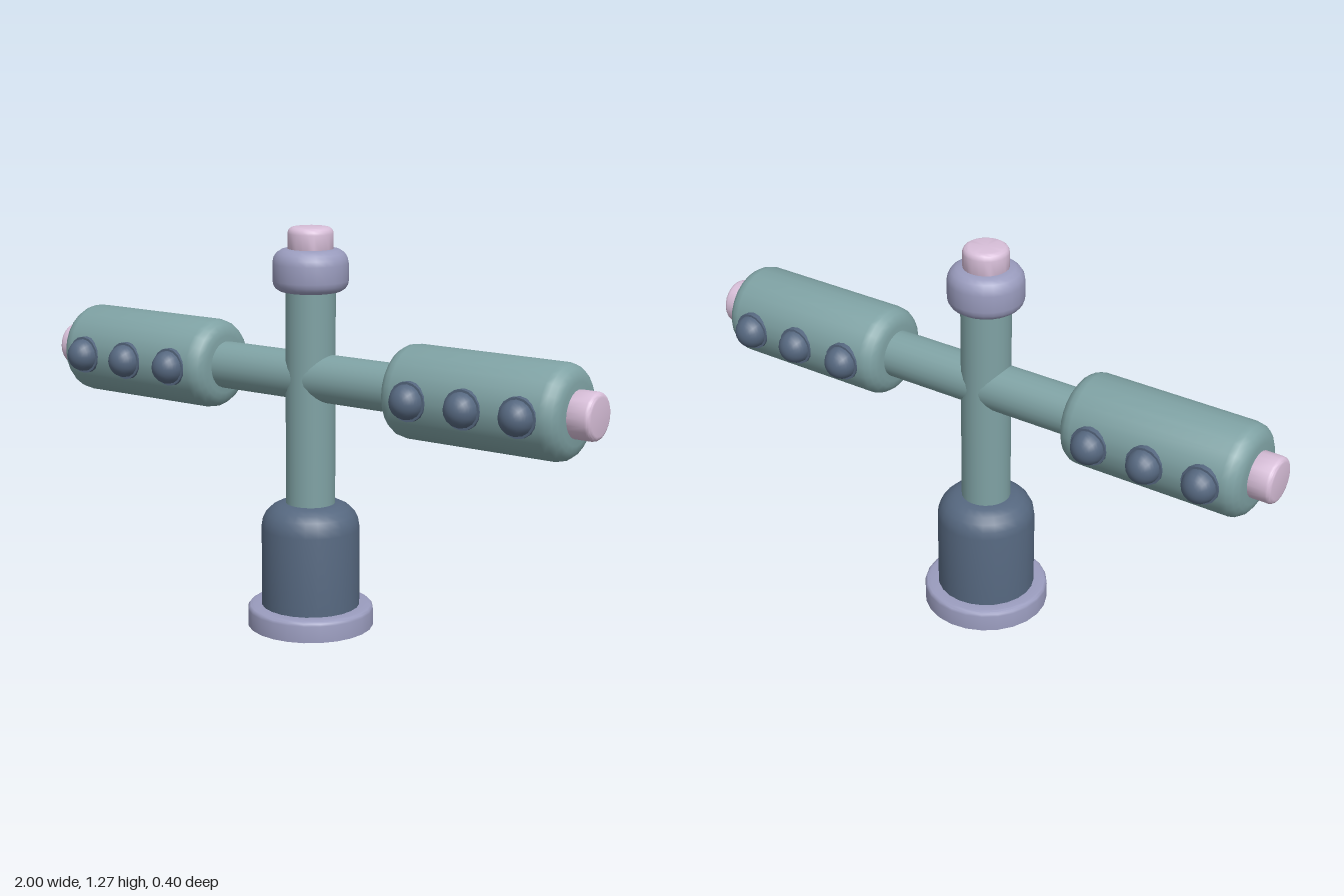
import * as THREE from 'three';
import { toCreasedNormals } from 'three/addons/utils/BufferGeometryUtils.js';

const SIDES = 24;
const ARM_Y = 0.803;

function material(name, color, side = THREE.FrontSide) {
  const m = new THREE.MeshStandardMaterial({ color, side });
  m.name = name;
  return m;
}

// Profile points of a rounded corner, turning from straight up to inward
function topCorner(radius, top, bevel, steps = 4) {
  return Array.from({ length: steps + 1 }, (_, i) => {
    const a = (i / steps) * Math.PI / 2;
    return new THREE.Vector2(radius - bevel + bevel * Math.cos(a), top - bevel + bevel * Math.sin(a));
  });
}

function lathe(points, sides = SIDES) {
  return toCreasedNormals(new THREE.LatheGeometry(points, sides), 0.6);
}

// Closed drum standing on the y axis, with separately rounded ends
function drum(radius, y0, y1, lowBevel, highBevel) {
  const low = topCorner(radius, -y0, lowBevel).reverse().map(p => new THREE.Vector2(p.x, -p.y));
  return lathe([new THREE.Vector2(0, y0), ...low, ...topCorner(radius, y1, highBevel), new THREE.Vector2(0, y1)]);
}

export function createModel() {
  const model = new THREE.Group();
  model.name = 'crossPost';
  const teal = material('teal', 0x7fa2a4);
  const slate = material('slate', 0x566880, THREE.DoubleSide);
  const lavender = material('lavender', 0x9a9cbe, THREE.DoubleSide);
  const pink = material('pink', 0xd8bfd9);

  const add = (name, geometry, mat, parent = model) => {
    const mesh = new THREE.Mesh(geometry, mat);
    mesh.name = name;
    parent.add(mesh);
    return mesh;
  };

  // Hollow foot: an open flange carrying an open-bottomed housing
  add('footFlange', lathe([
    new THREE.Vector2(0.2, 0), ...topCorner(0.2, 0.068, 0.015, 3), new THREE.Vector2(0.156, 0.068),
  ]), lavender);
  add('footHousing', lathe([
    new THREE.Vector2(0.156, 0.068), ...topCorner(0.156, 0.4, 0.08, 5), new THREE.Vector2(0, 0.4),
  ]), slate);

  // Upright post, collar and cap
  const post = add('post', new THREE.CylinderGeometry(0.078, 0.078, 0.69, SIDES, 1, true), teal);
  post.position.y = 0.74;
  add('collar', drum(0.118, 1.07, 1.202, 0.035, 0.045), lavender);
  add('topCap', drum(0.071, 1.19, 1.268, 0.005, 0.02), pink);

  // Cross bar running through the post
  const bar = add('crossBar', new THREE.CylinderGeometry(0.075, 0.075, 0.72, SIDES, 1, true), teal);
  bar.rotation.z = Math.PI / 2;
  bar.position.y = ARM_Y;

  // Shared arm and knob shapes
  const podGeometry = drum(0.143, 0.335, 0.93, 0.05, 0.05);
  const tipGeometry = drum(0.071, 0.92, 1.0, 0.005, 0.015);
  const rimGeometry = new THREE.CylinderGeometry(0.06, 0.06, 0.03, 16);
  const domeGeometry = new THREE.SphereGeometry(0.053, 16, 8, 0, Math.PI * 2, 0, Math.PI / 2);

  for (const [label, side, knobXs] of [
    ['left', 1, [0.45, 0.635, 0.815]],
    ['right', -1, [-0.455, -0.64, -0.82]],
  ]) {
    const arm = new THREE.Group();
    arm.name = `${label}Arm`;
    arm.position.y = ARM_Y;
    model.add(arm);
    add(`${label}Pod`, podGeometry, teal, arm).rotation.z = -side * Math.PI / 2;
    add(`${label}Tip`, tipGeometry, pink, arm).rotation.z = -side * Math.PI / 2;

    // Rimmed knobs on the front and back of the pod
    for (const x of knobXs) {
      for (const z of [1, -1]) {
        const knob = new THREE.Group();
        knob.name = `${label}Knob`;
        knob.position.set(x, 0, z * 0.132);
        knob.rotation.x = z * Math.PI / 2;
        add('knobRim', rimGeometry, slate, knob);
        add('knobDome', domeGeometry, slate, knob).position.y = 0.014;
        arm.add(knob);
      }
    }
  }
  return model;
}
